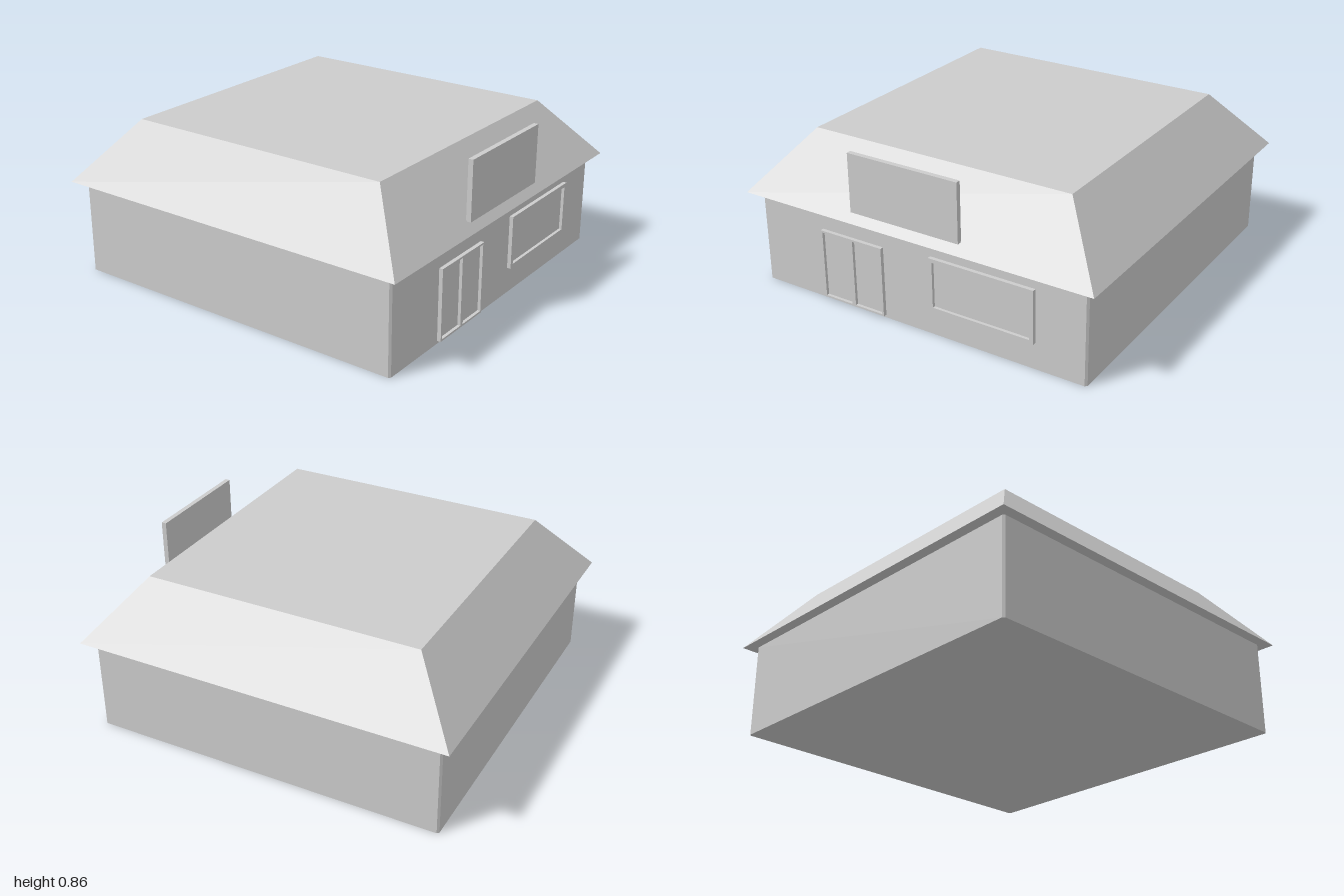
import * as THREE from 'three';

const material = new THREE.MeshStandardMaterial({ color: 0xcccccc, flatShading: true });

function add(group, name, geometry, x = 0, y = 0, z = 0) {
  const mesh = new THREE.Mesh(geometry, material);
  mesh.name = name;
  mesh.position.set(x, y, z);
  group.add(mesh);
  return mesh;
}

// Box given by its limits on each axis
function addBox(group, name, [x0, x1], [y0, y1], [z0, z1]) {
  return add(group, name, new THREE.BoxGeometry(x1 - x0, y1 - y0, z1 - z0),
    (x0 + x1) / 2, (y0 + y1) / 2, (z0 + z1) / 2);
}

function rectangle(Type, [x0, x1], [y0, y1]) {
  return new Type([[x0, y0], [x1, y0], [x1, y1], [x0, y1]].map(([x, y]) => new THREE.Vector2(x, y)));
}

// Flat frame on the front wall, with an opening and a thin pane for each panel
function addFramed(group, name, xs, ys, panels, paneName) {
  const part = new THREE.Group();
  part.name = name;
  const shape = rectangle(THREE.Shape, xs, ys);
  for (const [px, py] of panels) {
    shape.holes.push(rectangle(THREE.Path, px, py));
    addBox(part, paneName, px, py, [WALL - 0.005, WALL + 0.004]);
  }
  const frame = new THREE.ExtrudeGeometry(shape, { depth: 0.025, bevelEnabled: false });
  add(part, name + 'Frame', frame, 0, 0, WALL - 0.005);
  group.add(part);
}

const WALL = 0.945;
const EAVES = 0.5;

export function createModel() {
  const model = new THREE.Group();
  model.name = 'building';

  // Walls: square plan with narrow chamfered corners
  const c = WALL - 0.01;
  const plan = new THREE.Shape([
    [-c, -WALL], [c, -WALL], [WALL, -c], [WALL, c],
    [c, WALL], [-c, WALL], [-WALL, c], [-WALL, -c],
  ].map(([x, y]) => new THREE.Vector2(x, y)));
  const walls = new THREE.ExtrudeGeometry(plan, { depth: EAVES, bevelEnabled: false });
  walls.rotateX(-Math.PI / 2);
  add(model, 'walls', walls);

  // Roof: four sloping sides with a flat top and overhanging eaves
  const roofHeight = 0.32;
  const roof = new THREE.CylinderGeometry(0.735 * Math.SQRT2, Math.SQRT2, roofHeight, 4);
  roof.rotateY(Math.PI / 4);
  add(model, 'roof', roof, 0, EAVES + roofHeight / 2, 0);

  // Blank board standing in front of the roof
  addBox(model, 'signBoard', [-0.343, 0.281], [0.55, 0.86], [0.952, 0.978]);

  // Double door and shop window
  addFramed(model, 'door', [-0.555, -0.183], [0.015, 0.39],
    [[[-0.545, -0.38], [0.025, 0.38]], [[-0.358, -0.193], [0.025, 0.38]]], 'doorPanel');
  addFramed(model, 'window', [0.097, 0.675], [0.14, 0.422],
    [[[0.118, 0.654], [0.16, 0.402]]], 'windowPane');

  return model;
}
